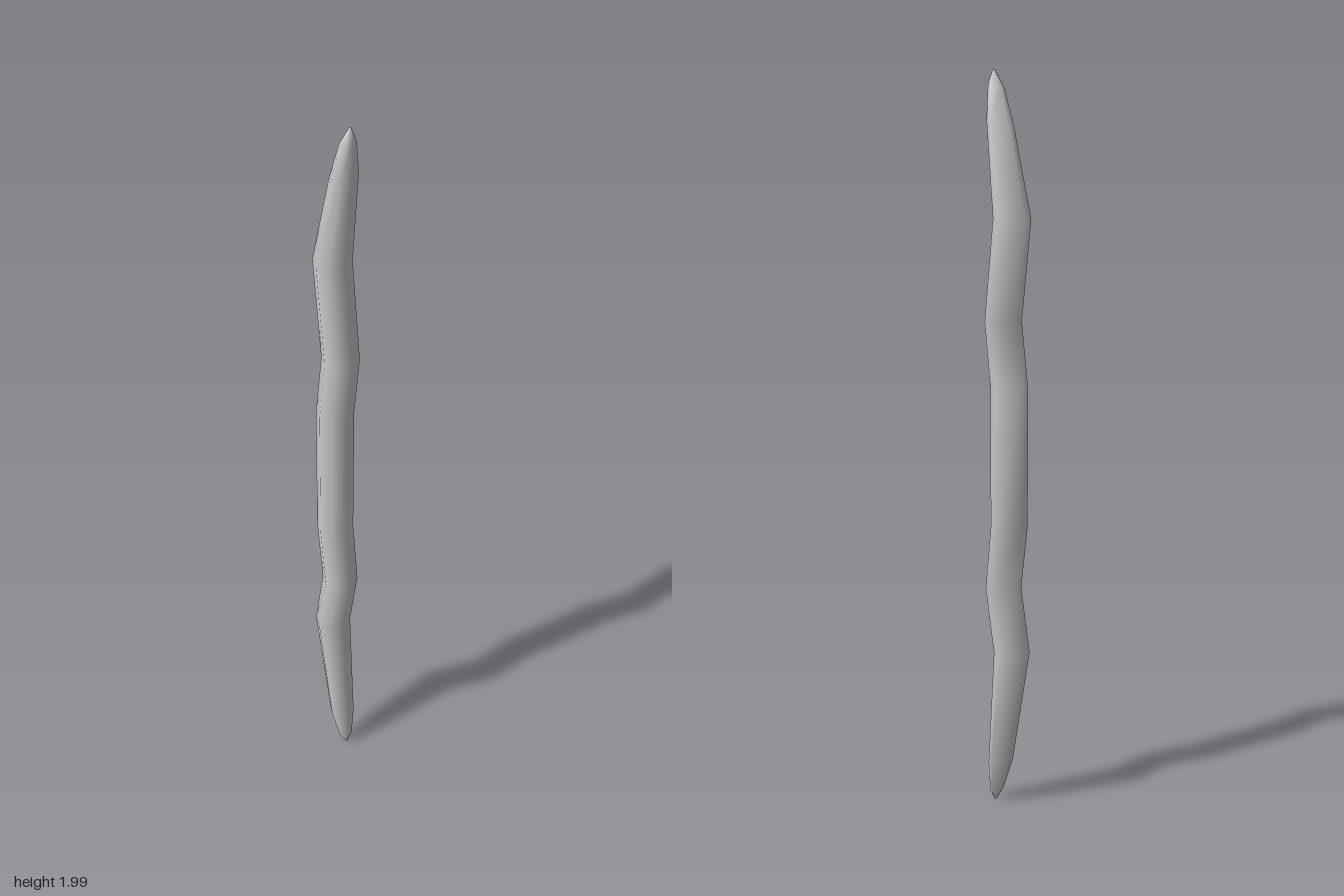
import * as THREE from 'three';

// Stave sections, bottom to top: [y, centre z, half width in x, half depth in z, tilt]
const SECTIONS = [
  [0.007, 0.052, 0.003, 0.003, 0],
  [0.04, 0.046, 0.02, 0.018, -0.3],
  [0.13, 0.031, 0.037, 0.031, -0.3],
  [0.465, -0.012, 0.05, 0.047, 0],
  [0.645, 0.02, 0.05, 0.046, 0],
  [0.82, -0.002, 0.05, 0.048, 0],
  [1.195, -0.002, 0.05, 0.048, 0],
  [1.37, 0.02, 0.05, 0.046, 0],
  [1.635, -0.012, 0.05, 0.047, 0],
  [1.875, 0.031, 0.037, 0.031, 0.3],
  [1.962, 0.045, 0.021, 0.019, 0.3],
  [2.0, 0.053, 0.003, 0.003, 0],
];

// Octagon with its back left corner cut off flat
const ANGLES = [0, 45, 90, 180, 225, 270, 315].map(THREE.MathUtils.degToRad);

// Skin the sections with quads and close both tips
function loft(sections, angles) {
  const n = angles.length;
  const positions = [];
  const index = [];
  for (const [y, z, rx, rz, tilt] of sections) {
    for (const a of angles) {
      const dz = rz * Math.cos(a);
      positions.push(rx * Math.sin(a), y + tilt * dz, z + dz);
    }
  }
  for (let i = 0; i < sections.length - 1; i++) {
    for (let j = 0; j < n; j++) {
      const a = i * n + j;
      const b = i * n + (j + 1) % n;
      index.push(a, b, b + n, a, b + n, a + n);
    }
  }
  const top = (sections.length - 1) * n;
  for (let j = 1; j < n - 1; j++) {
    index.push(0, j + 1, j);
    index.push(top, top + j, top + j + 1);
  }
  const geometry = new THREE.BufferGeometry();
  geometry.setAttribute('position', new THREE.Float32BufferAttribute(positions, 3));
  geometry.setIndex(index);
  geometry.computeVertexNormals();
  return geometry;
}

export function createModel() {
  const group = new THREE.Group();
  const material = new THREE.MeshStandardMaterial({ color: 0xcccccc });

  // One wavy stave with tapered ends
  const stave = new THREE.Mesh(loft(SECTIONS, ANGLES), material);
  stave.name = 'stave';
  group.add(stave);
  return group;
}
